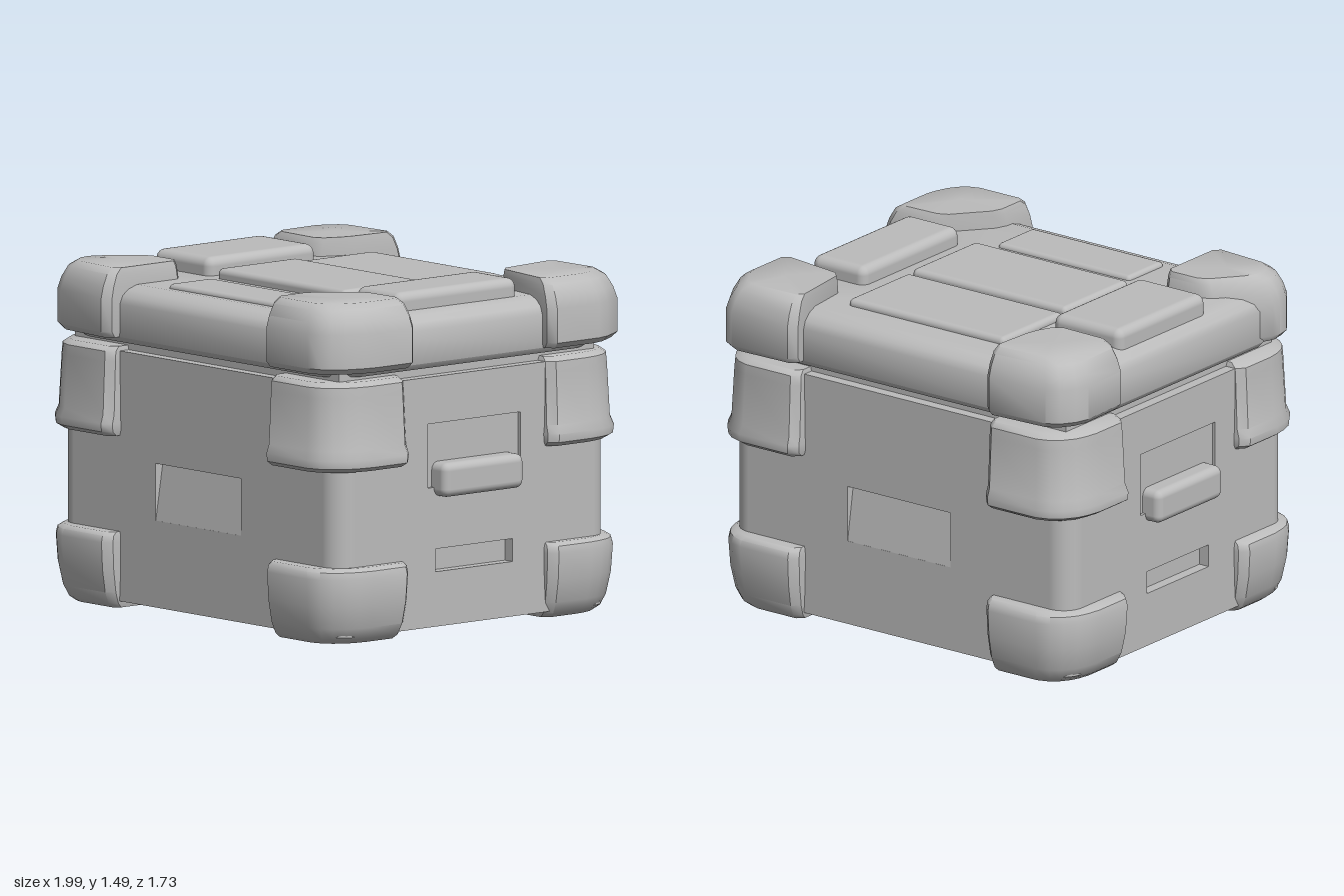
import * as THREE from 'three';
import { toCreasedNormals } from 'three/addons/utils/BufferGeometryUtils.js';
import { RoundedBoxGeometry } from 'three/addons/geometries/RoundedBoxGeometry.js';

const grey = new THREE.MeshStandardMaterial({ color: 0xbcbcbc });
grey.name = 'plain grey';

function add(parent, name, geometry, x = 0, y = 0, z = 0) {
  const mesh = new THREE.Mesh(geometry, grey);
  mesh.name = name;
  mesh.position.set(x, y, z);
  parent.add(mesh);
  return mesh;
}

// Rounded box given by its limits on each axis
function slab(parent, name, [x0, x1], [y0, y1], [z0, z1], r) {
  return add(parent, name, new RoundedBoxGeometry(x1 - x0, y1 - y0, z1 - z0, 3, r),
    (x0 + x1) / 2, (y0 + y1) / 2, (z0 + z1) / 2);
}

// Cut each corner of a footprint [x, z] with a short edge of reach d
function soften(points, d) {
  const out = [];
  points.forEach((p, i) => {
    const n = points.length;
    for (const q of [points[(i + n - 1) % n], points[(i + 1) % n]]) {
      const len = Math.hypot(q[0] - p[0], q[1] - p[1]);
      const t = Math.min(d / len, 0.4);
      out.push([p[0] + (q[0] - p[0]) * t, p[1] + (q[1] - p[1]) * t]);
    }
  });
  return out;
}

// Skin a stack of level rings, each an array of [x, y, z], with end caps
function loft(rings, crease = 0.75) {
  const pos = [], n = rings[0].length;
  const tri = (...corners) => corners.forEach(c => pos.push(...c));
  const centre = ring => [0, 1, 2].map(k => ring.reduce((s, p) => s + p[k], 0) / n);
  const first = rings[0], last = rings[rings.length - 1];
  const bottom = centre(first), top = centre(last);
  for (let i = 0; i < n; i++) {
    const j = (i + 1) % n;
    for (let k = 0; k + 1 < rings.length; k++) {
      const a = rings[k], b = rings[k + 1];
      tri(a[i], b[j], a[j]);
      tri(a[i], b[i], b[j]);
    }
    tri(bottom, first[i], first[j]);
    tri(top, last[j], last[i]);
  }
  const geometry = new THREE.BufferGeometry();
  geometry.setAttribute('position', new THREE.Float32BufferAttribute(pos, 3));
  return toCreasedNormals(geometry, crease);
}

// Corner guard: the footprint shrinks toward its inner corner at each [y, scale]
function guard(parent, name, points, levels) {
  const area = points.reduce((s, p, i) => {
    const q = points[(i + 1) % points.length];
    return s + p[0] * q[1] - q[0] * p[1];
  }, 0);
  const outline = soften(area > 0 ? points : [...points].reverse(), 0.035);
  const cx = 0.58 * Math.sign(points[0][0]), cz = 0.52 * Math.sign(points[0][1]);
  add(parent, name, loft(levels.map(([y, s]) =>
    outline.map(([x, z]) => [cx + (x - cx) * s, y, cz + (z - cz) * s]))));
}

// Wall plate facing +z with rectangular openings [x0, x1, y0, y1]
function wall(half, holes) {
  const rect = (path, [x0, x1, y0, y1]) => {
    path.moveTo(x0, y0).lineTo(x1, y0).lineTo(x1, y1).lineTo(x0, y1).closePath();
    return path;
  };
  const shape = rect(new THREE.Shape(), [-half, half, 0.03, 1.125]);
  holes.forEach(h => shape.holes.push(rect(new THREE.Path(), h)));
  return new THREE.ExtrudeGeometry(shape, { depth: 0.05, bevelEnabled: false });
}

export function createModel() {
  const model = new THREE.Group();
  model.name = 'storageCrate';

  // Body: inner core, rounded uprights and four wall plates
  add(model, 'bodyCore', new THREE.BoxGeometry(1.74, 1.17, 1.46), 0, 0.615, 0);
  for (const sx of [-1, 1]) for (const sz of [-1, 1]) {
    add(model, 'bodyUpright', new THREE.CylinderGeometry(0.1, 0.1, 1.095, 32), sx * 0.82, 0.5775, sz * 0.68);
  }
  for (const turn of [0, Math.PI]) {
    // Front and back: pocket with a sloping floor
    const face = new THREE.Group();
    face.name = turn ? 'backWall' : 'frontWall';
    face.rotation.y = turn;
    add(face, 'wallPlate', wall(0.82, [[-0.28, 0.28, 0.41, 0.66]]), 0, 0, 0.73);
    const floor = add(face, 'pocketFloor', new THREE.BoxGeometry(0.56, 0.26, 0.03), 0, 0.535, 0.744);
    floor.rotation.x = -0.16;

    // Sides: grip, shallow recess behind it, and a lower slot
    const side = new THREE.Group();
    side.name = turn ? 'leftWall' : 'rightWall';
    side.rotation.y = Math.PI / 2 + turn;
    add(side, 'wallPlate', wall(0.68, [[-0.22, 0.22, 0.27, 0.37], [-0.265, 0.265, 0.64, 0.92]]), 0, 0, 0.87);
    add(side, 'recessFloor', new THREE.BoxGeometry(0.53, 0.28, 0.035), 0, 0.78, 0.8875);
    slab(side, 'gripHandle', [-0.23, 0.23], [0.6, 0.75], [0.85, 0.995], 0.035);
    model.add(face, side);
  }

  // Lid with rounded upper edges
  const lidRing = (y, inset) => soften(soften([
    [-0.91, -0.78], [0.91, -0.78], [0.91, 0.78], [-0.91, 0.78]], 0.12), 0.035)
    .map(([x, z]) => [x * (1 - inset / 0.91), y, z * (1 - inset / 0.78)]);
  add(model, 'lid', loft([[1.16, 0.02], [1.185, 0], [1.33, 0], [1.365, 0.015],
    [1.39, 0.05], [1.405, 0.1]].map(l => lidRing(...l))));

  // Raised lid panels
  slab(model, 'lidPanelBack', [-0.42, 0.43], [1.3, 1.435], [-0.585, -0.155], 0.025);
  slab(model, 'lidPanelMiddle', [-0.42, 0.42], [1.3, 1.45], [-0.145, 0.31], 0.025);
  slab(model, 'lidPanelFront', [-0.35, 0.37], [1.3, 1.425], [0.4, 0.65], 0.02);
  slab(model, 'lidPadLeft', [0.52, 0.81], [1.3, 1.485], [-0.35, 0.34], 0.04);
  slab(model, 'lidPadRight', [-0.85, -0.48], [1.3, 1.485], [-0.32, 0.3], 0.04);

  // Lower and middle corner guards
  for (const sx of [-1, 1]) for (const sz of [-1, 1]) {
    const foot = [[0.51, 0.4], [0.98, 0.4], [0.98, 0.66], [0.94, 0.78], [0.84, 0.86], [0.51, 0.86]]
      .map(([x, z]) => [x * sx, z * sz]);
    guard(model, 'footGuard', foot,
      [[0, 0.8], [0.02, 0.87], [0.07, 0.93], [0.17, 0.98], [0.29, 1], [0.32, 0.98], [0.335, 0.92]]);
    guard(model, 'middleGuard', foot,
      [[0.755, 0.92], [0.775, 1], [0.81, 1.01], [0.85, 0.97], [1.08, 0.94], [1.125, 0.93], [1.145, 0.86]]);
  }

  // Lid corner guards, each with its own irregular footprint
  const lidCorners = [
    [[0.5, 0.62], [0.7, 0.38], [0.98, 0.37], [0.98, 0.64], [0.93, 0.78], [0.84, 0.855], [0.5, 0.855]],
    [[-0.515, 0.41], [-0.76, 0.41], [-0.93, 0.62], [-0.96, 0.72], [-0.88, 0.83], [-0.515, 0.86]],
    [[-0.515, -0.86], [-0.535, -0.55], [-0.6, -0.4], [-0.95, -0.41], [-0.96, -0.72], [-0.88, -0.84]],
    [[0.51, -0.86], [0.56, -0.45], [0.98, -0.39], [0.98, -0.7], [0.88, -0.87]],
  ];
  lidCorners.forEach(points => guard(model, 'lidGuard', points,
    [[1.185, 0.94], [1.21, 1], [1.36, 1], [1.41, 0.96], [1.46, 0.89], [1.485, 0.79]]));

  return model;
}
